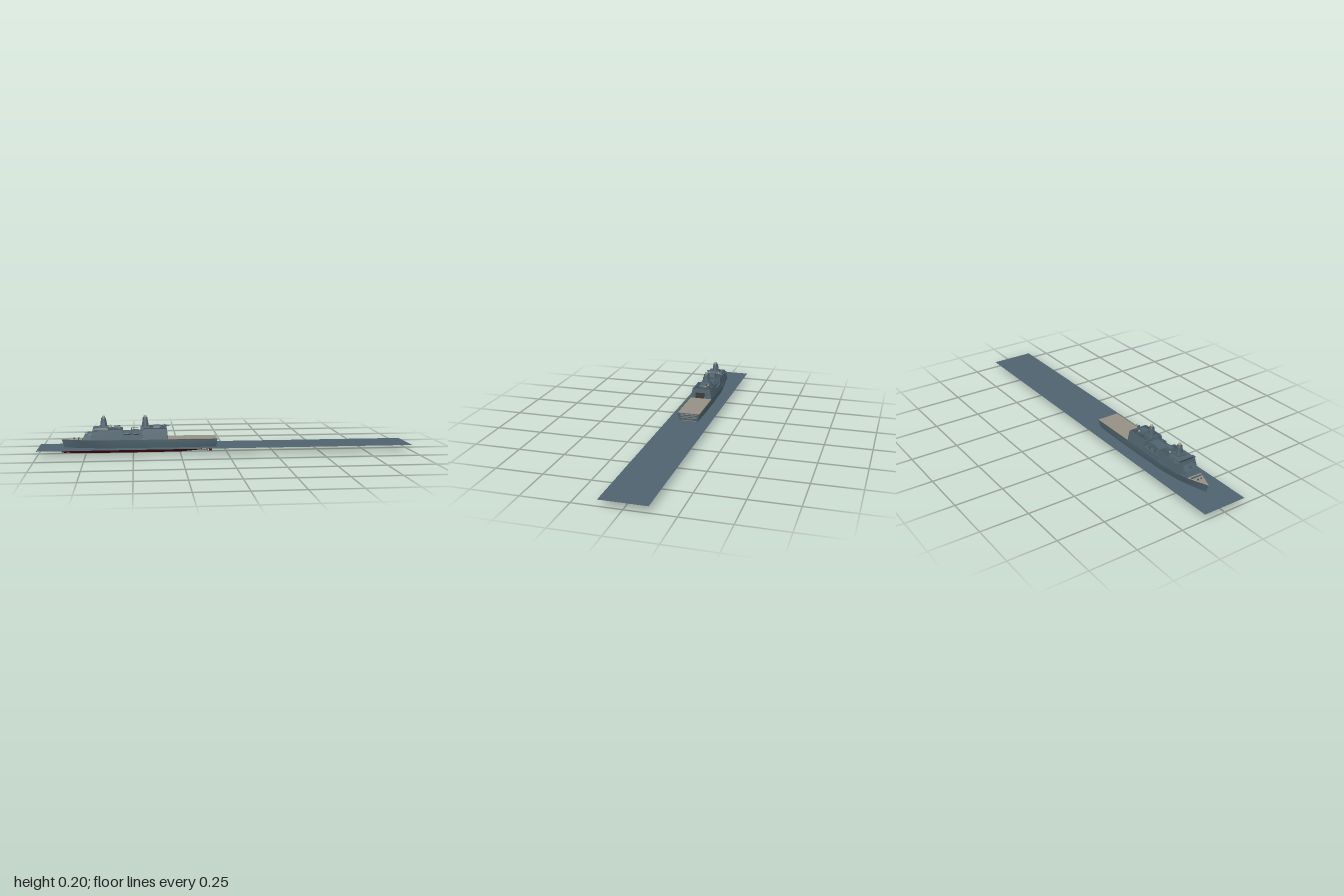
import * as THREE from 'three';
import { toCreasedNormals } from 'three/addons/utils/BufferGeometryUtils.js';

const mat = (name, color, side = THREE.FrontSide) => {
  const m = new THREE.MeshStandardMaterial({ color, side });
  m.name = name;
  return m;
};

export function createModel() {
  const sea = mat('sea blue grey', 0x4f636e, THREE.DoubleSide);
  const grey = mat('ship grey', 0x4f636e);
  const dark = mat('dark deck grey', 0x43545d);
  const beige = mat('deck beige', 0x959084, THREE.DoubleSide);
  const red = mat('hull red', 0x4e0a0c);
  const black = mat('door charcoal', 0x363636);
  const green = mat('net green', 0x3c5540);

  const model = new THREE.Group();
  const ship = new THREE.Group();
  ship.name = 'ship';
  ship.position.z = 0.004;
  model.add(ship);
  const add = (name, geo, m, x = 0, y = 0, z = 0) => {
    const mesh = new THREE.Mesh(geo, m);
    mesh.name = name;
    mesh.position.set(x, y, z);
    ship.add(mesh);
    return mesh;
  };

  // Block from x0 to x1 and y0 to y1, half width w0 below and w1 above, ends leaning in
  const block = (name, m, x0, x1, y0, y1, w0, w1 = w0, front = 0, back = 0, z = 0) => {
    const g = new THREE.BoxGeometry(1, 1, 1);
    const p = g.attributes.position;
    for (let i = 0; i < p.count; i++) {
      const top = p.getY(i) > 0;
      const x = p.getX(i) < 0 ? x0 + (top ? front : 0) : x1 - (top ? back : 0);
      p.setXYZ(i, x, top ? y1 : y0, Math.sign(p.getZ(i)) * (top ? w1 : w0));
    }
    g.computeVertexNormals();
    return add(name, g, m, 0, 0, z);
  };

  // Skin between cross-sections
  const loft = (name, m, rows) => {
    const v = [];
    for (let i = 0; i < rows.length - 1; i++) {
      for (let j = 0; j < rows[i].length - 1; j++) {
        const a = rows[i][j], b = rows[i][j + 1], c = rows[i + 1][j], d = rows[i + 1][j + 1];
        v.push(...a, ...b, ...c, ...b, ...d, ...c);
      }
    }
    const g = new THREE.BufferGeometry();
    g.setAttribute('position', new THREE.Float32BufferAttribute(v, 3));
    return add(name, toCreasedNormals(g, 0.45), m);
  };

  // Water sheet
  const water = new THREE.Mesh(new THREE.PlaneGeometry(2, 0.24).rotateX(-Math.PI / 2), sea);
  water.name = 'water';
  water.position.y = 0.033;
  model.add(water);

  // Hull stations: deck x, waterline x, half widths (deck, knuckle, waterline, bilge), bilge y, keel y
  const DECK = 0.077, WL = 0.033;
  const stations = [
    [-0.878, -0.862, 0.0005, 0.0005, 0.0005, 0.0005, 0.012, 0.006],
    [-0.83, -0.825, 0.020, 0.016, 0.010, 0.004, 0.012, 0.003],
    [-0.77, -0.77, 0.042, 0.036, 0.026, 0.012, 0.012, 0.001],
    [-0.70, -0.70, 0.056, 0.052, 0.042, 0.024, 0.012, 0],
    [-0.60, -0.60, 0.062, 0.061, 0.053, 0.034, 0.011, 0],
    [-0.40, -0.40, 0.062, 0.062, 0.057, 0.037, 0.011, 0],
    [-0.25, -0.25, 0.062, 0.062, 0.057, 0.037, 0.011, 0],
    [-0.16, -0.16, 0.062, 0.062, 0.055, 0.036, 0.014, 0.009],
    [-0.10, -0.10, 0.061, 0.061, 0.053, 0.036, 0.025, 0.022],
    [-0.053, -0.058, 0.060, 0.060, 0.050, 0.036, 0.031, 0.030]
  ];
  const side = (s, k) => {
    const kx = s[1] + (s[0] - s[1]) * 0.6;
    return [[s[0], DECK, k * s[2]], [kx, 0.06, k * s[3]], [s[1], WL, k * s[4]]];
  };
  loft('hullSideLeft', grey, stations.map(s => side(s, 1)));
  loft('hullSideRight', grey, stations.map(s => side(s, -1).reverse()));
  loft('hullBottom', red, stations.map(s => [
    [s[1], WL, s[4]], [s[1], s[6], s[5]], [s[1], s[7], 0], [s[1], s[6], -s[5]], [s[1], WL, -s[4]]
  ]));
  const last = stations[stations.length - 1];
  const sternA = side(last, 1), sternB = side(last, -1);
  loft('transom', grey, [sternA, sternB]);

  // Decks follow the hull edge
  const deck = (name, m, from, to) => loft(name, m, stations.slice(from, to).map(s =>
    [[s[0], DECK, -s[2]], [s[0], DECK, s[2]]]));
  deck('foredeck', beige, 0, 3);
  deck('mainDeck', grey, 2, 7);
  block('flightDeck', beige, -0.317, -0.054, 0.076, 0.0785, 0.0615);
  for (const k of [1, -1]) block('safetyNet', green, -0.31, -0.056, 0.0745, 0.0765, 0.0035, 0.0035, 0, 0, k * 0.0635);

  // Stern stripes
  for (const [y, h] of [[0.071, 0.004], [0.060, 0.003], [0.050, 0.003], [0.035, 0.0025]]) {
    add('sternStripe', new THREE.BoxGeometry(0.003, h, y > 0.04 ? 0.092 : 0.08), beige,
      -0.0535 - (DECK - y) * 0.11, y, 0);
  }

  // Bulb, rudders and propellers
  const bulb = add('bowBulb', new THREE.SphereGeometry(1, 16, 10), red, -0.858, 0.013, 0);
  bulb.scale.set(0.024, 0.009, 0.008);
  for (const k of [1, -1]) {
    block('rudder', red, -0.095, -0.078, 0.006, 0.03, 0.002, 0.002, 0, 0, k * 0.022);
    add('propeller', new THREE.CylinderGeometry(0.008, 0.008, 0.002, 12).rotateZ(Math.PI / 2), red, -0.104, 0.014, k * 0.022);
    add('shaft', new THREE.CylinderGeometry(0.002, 0.002, 0.08, 8).rotateZ(Math.PI / 2), red, -0.144, 0.014, k * 0.022);
  }

  // Superstructure
  block('forwardStep', grey, -0.768, -0.69, DECK, 0.1, 0.040, 0.036, 0.012);
  block('gunDeckhouse', grey, -0.742, -0.69, 0.1, 0.113, 0.034, 0.031, 0.01);
  block('forwardHouse', grey, -0.725, -0.555, DECK, 0.13, 0.058, 0.051, 0.012);
  block('bridge', grey, -0.712, -0.63, 0.13, 0.14, 0.046, 0.043, 0.006, 0.003);
  block('bridgeWindows', black, -0.7125, -0.706, 0.1325, 0.1365, 0.042, 0.041, 0.002);
  for (const k of [1, -1]) block('bridgeWing', grey, -0.705, -0.685, 0.124, 0.13, 0.006, 0.006, 0, 0, k * 0.055);
  block('boatDeck', grey, -0.56, -0.445, DECK, 0.102, 0.061, 0.058);
  block('midHouse', grey, -0.56, -0.445, 0.1, 0.118, 0.03, 0.028);
  block('aftHouse', grey, -0.455, -0.317, DECK, 0.132, 0.0615, 0.052, 0.004, 0.004);
  block('aftRoof', dark, -0.445, -0.325, 0.132, 0.134, 0.048);
  block('forwardRoof', dark, -0.63, -0.56, 0.13, 0.132, 0.047);

  // Hangar doors
  block('hangarDoor', black, -0.324, -0.3155, 0.079, 0.11, 0.026, 0.026, 0, 0.0025, 0.007);
  for (const k of [1, -1]) block('hangarRail', dark, -0.332, -0.3205, 0.113, 0.116, 0.04, 0.04, 0, 0);

  // Masts with domes
  for (const [x, base] of [[-0.655, 0.138], [-0.435, 0.132]]) {
    block('mastFoot', grey, x - 0.026, x + 0.026, base - 0.004, base + 0.01, 0.026, 0.024, 0.003, 0.003);
    const mast = add('mast', new THREE.CylinderGeometry(0.0135, 0.0215, 0.187 - base, 8).rotateY(Math.PI / 8).toNonIndexed(), grey, x, (0.187 + base) / 2, 0);
    mast.geometry.computeVertexNormals();
    add('mastCap', new THREE.CylinderGeometry(0.012, 0.0145, 0.004, 8), dark, x, 0.187, 0);
    add('mastDome', new THREE.SphereGeometry(0.0085, 16, 12), beige, x, 0.193, 0);
  }

  // Funnels, launchers and roof boxes
  block('forwardFunnel', grey, -0.605, -0.565, 0.13, 0.146, 0.018, 0.014, 0.004, 0.003);
  block('aftFunnel', grey, -0.395, -0.35, 0.132, 0.146, 0.02, 0.016, 0.004, 0.004);
  for (const [x, z] of [[-0.59, 0.035], [-0.4, -0.035], [-0.345, 0.036], [-0.345, -0.036]]) {
    block('roofBox', dark, x - 0.012, x + 0.012, 0.13, 0.14, 0.008, 0.007, 0.001, 0.001, z);
  }
  for (const [x, y, z] of [[-0.62, 0.14, 0.028], [-0.37, 0.141, -0.028], [-0.335, 0.142, -0.022], [-0.62, 0.14, -0.028]]) {
    add('domeStand', new THREE.CylinderGeometry(0.004, 0.005, 0.012, 10), grey, x, y - 0.006, z);
    add('sensorDome', new THREE.SphereGeometry(0.006, 14, 10), beige, x, y + 0.002, z);
  }

  // Guns on the bow step and hangar roof
  for (const [x, y, d] of [[-0.735, 0.1, -1], [-0.328, 0.132, 1]]) {
    add('gunMount', new THREE.CylinderGeometry(0.006, 0.008, 0.016, 10), grey, x, y + 0.008, 0);
    add('gunBarrel', new THREE.CylinderGeometry(0.0012, 0.0012, 0.02, 8).rotateZ(Math.PI / 2), dark, x + d * 0.012, y + 0.013, 0);
  }

  // Boats and cranes amidships
  for (const k of [1, -1]) {
    for (const x of [-0.53, -0.485]) {
      const boat = add('boat', new THREE.SphereGeometry(1, 14, 8), dark, x, 0.107, k * 0.044);
      boat.scale.set(0.019, 0.006, 0.007);
    }
    block('cranePost', grey, -0.511, -0.505, 0.1, 0.13, 0.003, 0.003, 0, 0, k * 0.034);
    block('craneArm', grey, -0.511, -0.47, 0.126, 0.13, 0.002, 0.002, 0, 0, k * 0.034);
  }

  // Foredeck fittings
  block('breakwater', grey, -0.79, -0.786, DECK, 0.083, 0.03);
  for (const k of [1, -1]) add('capstan', new THREE.CylinderGeometry(0.003, 0.004, 0.006, 10), dark, -0.812, 0.08, k * 0.01);

  return model;
}
